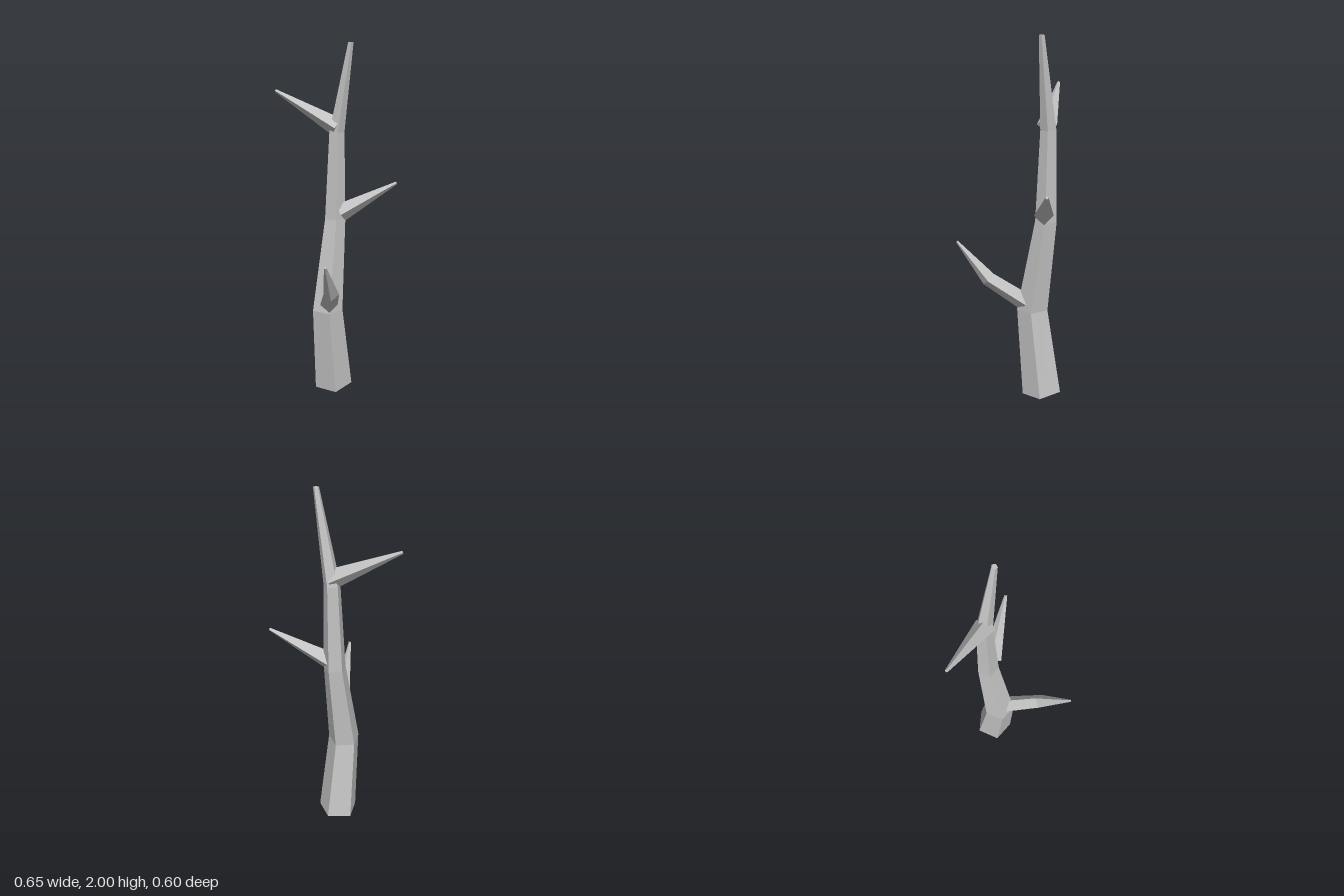
import * as THREE from 'three';

// Faceted limb through rings [x, y, z, radius]; one corner of each ring points along `up`.
// `normals` sets the ring planes; otherwise they follow the path.
function limbGeometry(rings, sides, up, normals) {
  const centers = rings.map(([x, y, z]) => new THREE.Vector3(x, y, z));
  const last = rings.length - 1;
  const loops = rings.map((ring, i) => {
    const d = normals
      ? normals[i].clone().normalize()
      : centers[Math.min(i + 1, last)].clone().sub(centers[Math.max(i - 1, 0)]).normalize();
    const u = up.clone().addScaledVector(d, -up.dot(d)).normalize();
    const s = d.clone().cross(u);
    return Array.from({ length: sides }, (_, k) => {
      const a = (k / sides) * Math.PI * 2;
      return centers[i].clone()
        .addScaledVector(u, ring[3] * Math.cos(a))
        .addScaledVector(s, ring[3] * Math.sin(a));
    });
  });

  const pos = [];
  const tri = (...pts) => pts.forEach((p) => pos.push(p.x, p.y, p.z));
  for (let k = 0; k < sides; k++) {
    const n = (k + 1) % sides;
    for (let i = 0; i < last; i++) {
      tri(loops[i][k], loops[i][n], loops[i + 1][n]);
      tri(loops[i][k], loops[i + 1][n], loops[i + 1][k]);
    }
    // end caps
    tri(centers[0], loops[0][n], loops[0][k]);
    tri(centers[last], loops[last][k], loops[last][n]);
  }
  const geo = new THREE.BufferGeometry();
  geo.setAttribute('position', new THREE.Float32BufferAttribute(pos, 3));
  geo.computeVertexNormals();
  return geo;
}

export function createModel() {
  const tree = new THREE.Group();
  tree.name = 'deadTree';
  const bark = new THREE.MeshStandardMaterial({ color: 0xc3c3c3 });
  bark.name = 'paleGreyBark';

  const add = (name, geo) => {
    const mesh = new THREE.Mesh(geo, bark);
    mesh.name = name;
    tree.add(mesh);
  };

  // Bent five-sided trunk, level rings above a slightly slanted foot
  const level = new THREE.Vector3(0, 1, 0);
  const foot = new THREE.Vector3(0, 1, 0.125);
  add('trunk', limbGeometry([
    [0.011, 0.012, -0.143, 0.114],
    [0.004, 0.513, -0.079, 0.09],
    [0.009, 1.037, -0.158, 0.061],
    [0.012, 1.525, -0.167, 0.044],
    [0.095, 2.0, -0.161, 0.015],
  ], 5, new THREE.Vector3(0, 0, -1), [foot, level, level, level, level]));

  // Four-sided branches, tapering to small blunt tips
  const branches = {
    lowerFrontBranch: [[0.035, 0.553, -0.043, 0.05], [0.14, 0.698, 0.128, 0.042], [0.192, 0.908, 0.294, 0.007]],
    middleLeftBranch: [[0.047, 1.073, -0.16, 0.053], [0.322, 1.247, -0.296, 0.008]],
    upperRightBranch: [[0.018, 1.552, -0.16, 0.053], [-0.324, 1.74, -0.08, 0.008]],
  };
  for (const [name, rings] of Object.entries(branches)) add(name, limbGeometry(rings, 4, level));

  return tree;
}
